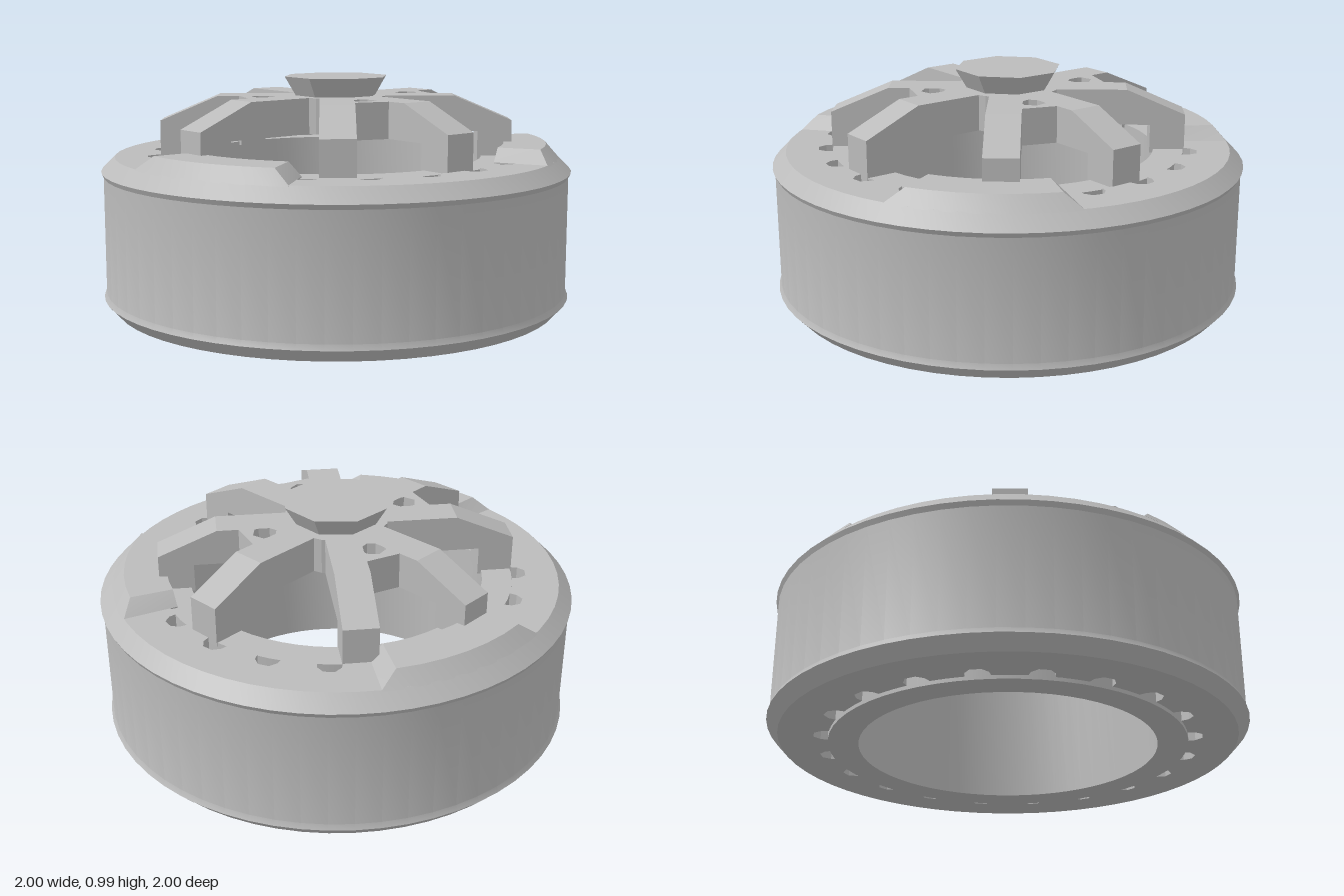
import * as THREE from 'three';
import { toCreasedNormals } from 'three/addons/utils/BufferGeometryUtils.js';

const SIDES = 60;
const rad = THREE.MathUtils.degToRad;

export function createModel() {
  const model = new THREE.Group();
  model.name = 'spokedWheel';
  const grey = new THREE.MeshStandardMaterial({ color: 0xbbbbbb });
  grey.name = 'grey';

  const add = (name, geometry, turn = 0) => {
    const mesh = new THREE.Mesh(geometry, grey);
    mesh.name = name;
    mesh.rotation.y = rad(turn);
    model.add(mesh);
    return mesh;
  };
  const polygon = (pts) => pts.map(([x, y]) => new THREE.Vector2(x, y));
  const circle = (r, n, cx = 0) => Array.from({ length: n }, (_, i) => {
    const a = (i / n) * Math.PI * 2;
    return new THREE.Vector2(cx + r * Math.cos(a), r * Math.sin(a));
  });
  const lathe = (pts) => toCreasedNormals(new THREE.LatheGeometry(polygon(pts), SIDES), rad(25));
  // flat outline extruded upward from y0 to y1
  const slab = (outline, hole, y0, y1) => {
    const shape = new THREE.Shape(outline);
    if (hole) shape.holes.push(new THREE.Path(hole));
    return new THREE.ExtrudeGeometry(shape, { depth: y1 - y0, bevelEnabled: false })
      .rotateX(-Math.PI / 2).translate(0, y0, 0);
  };

  // tyre: smooth tread with small lips and bevelled shoulders
  add('tread', lathe([
    [0.9, 0.015], [0.95, 0.015], [0.998, 0.068], [0.988, 0.09],
    [0.988, 0.582], [0.998, 0.602], [0.94, 0.66], [0.9, 0.66],
  ]));

  // side walls with 20 rounded notches around the bore
  const notched = [];
  for (let i = 0; i < 20; i++) {
    const notch = [[-9, 0.745], [-3.8, 0.745], [-3.4, 0.775], [-1.6, 0.803],
      [1.6, 0.803], [3.4, 0.775], [3.8, 0.745]];
    for (const [d, r] of notch) {
      const a = rad(i * 18 + d);
      notched.push(new THREE.Vector2(r * Math.cos(a), r * Math.sin(a)));
    }
  }
  add('notchedWall', slab(circle(0.9, SIDES), notched, 0.015, 0.66));

  // inner tube
  add('innerTube', lathe([[0.62, 0.655], [0.62, 0], [0.745, 0], [0.745, 0.655], [0.62, 0.655]]));

  // three raised shoulder pads with ramped ends
  const padGeometry = () => {
    const low = [[0.715, 0.655], [0.945, 0.655], [0.94, 0.66], [0.715, 0.66]];
    const high = [[0.715, 0.655], [0.945, 0.655], [0.892, 0.715], [0.715, 0.715]];
    const angles = [18, 22, 28.3, 34.7, 41, 47.3, 53.7, 60, 64];
    const pos = [];
    const idx = [];
    angles.forEach((deg, i) => {
      const a = rad(deg);
      const section = i === 0 || i === angles.length - 1 ? low : high;
      for (const [r, y] of section) pos.push(r * Math.cos(a), y, -r * Math.sin(a));
      if (i === 0) return;
      for (let j = 0; j < 4; j++) {
        const p = (i - 1) * 4 + j;
        const q = (i - 1) * 4 + (j + 1) % 4;
        idx.push(p, p + 4, q, q, p + 4, q + 4);
      }
    });
    const end = (angles.length - 1) * 4;
    idx.push(0, 1, 2, 0, 2, 3, end, end + 2, end + 1, end, end + 3, end + 2);
    const g = new THREE.BufferGeometry();
    g.setAttribute('position', new THREE.Float32BufferAttribute(pos, 3));
    g.setIndex(idx);
    return toCreasedNormals(g, rad(10));
  };
  const pad = padGeometry();
  for (let i = 0; i < 3; i++) add('shoulderPad', pad, i * 120);

  // eight bent spokes, unevenly spaced in pairs
  const spoke = new THREE.ExtrudeGeometry(new THREE.Shape(polygon([
    [0.1, 0.76], [0.6, 0.76], [0.6, 0.64], [0.745, 0.64], [0.745, 0.805], [0.5, 0.91], [0.1, 0.91],
  ])), { depth: 0.14, bevelEnabled: false }).translate(0, 0, -0.07);
  // webs with a hole, filling the narrow gaps between spokes
  const web = slab(polygon([[0.15, -0.05], [0.41, -0.13], [0.41, 0.13], [0.15, 0.05]]),
    circle(0.052, 6, 0.325), 0.76, 0.91);
  for (let i = 0; i < 4; i++) {
    add('spoke', spoke, i * 90 - 5.5);
    add('spoke', spoke, i * 90 + 45);
    add('hubWeb', web, i * 90 + 64.75);
  }

  // hub plate and flared faceted cap
  add('hubPlate', slab(circle(0.22, 16), null, 0.76, 0.91));
  const cap = new THREE.CylinderGeometry(0.225, 0.175, 0.085, 8).toNonIndexed();
  cap.computeVertexNormals();
  add('hubCap', cap.translate(0, 0.9475, 0), 15);

  return model;
}
